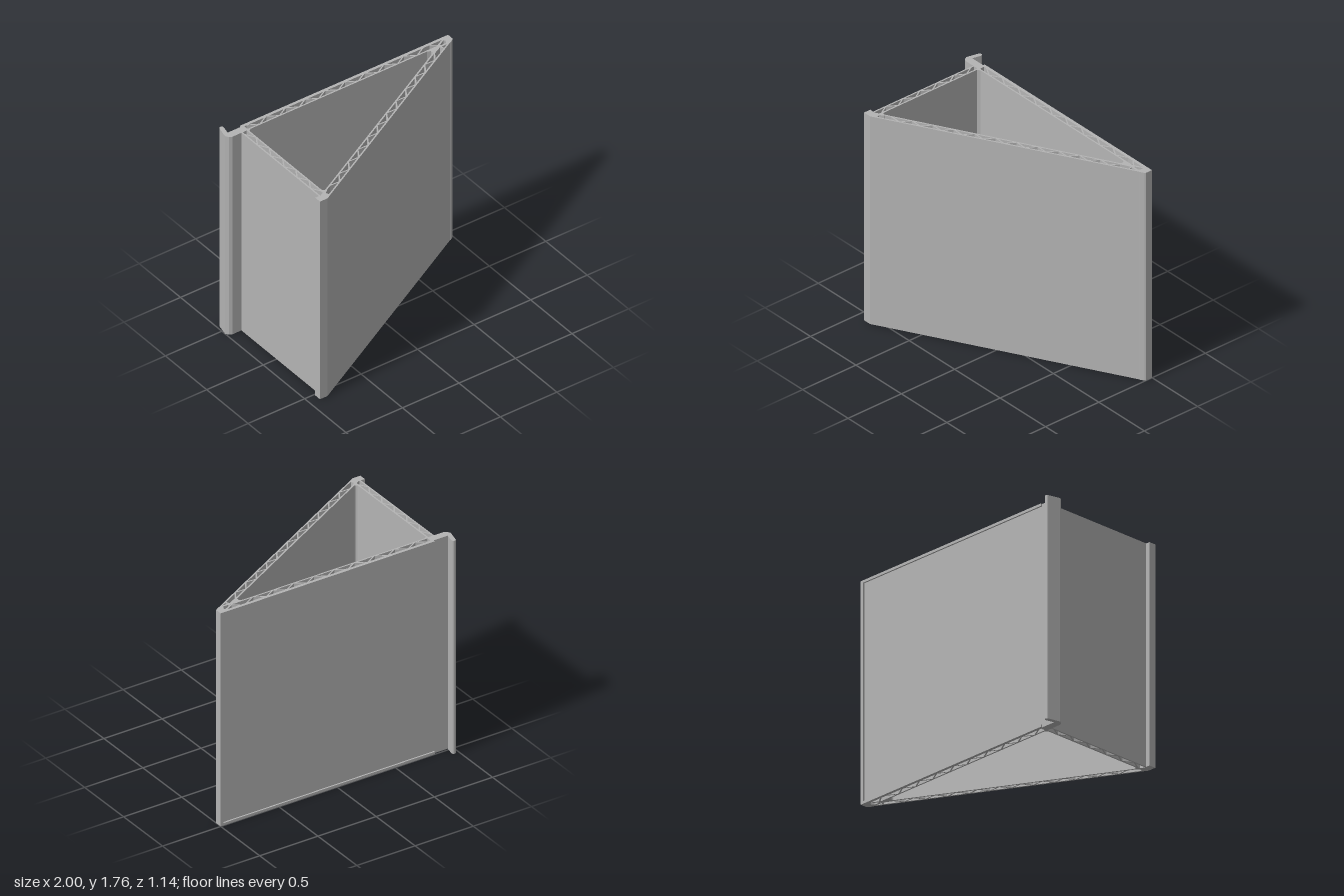
import * as THREE from 'three';

const HEIGHT = 1.76;

export function createModel() {
  const group = new THREE.Group();
  const grey = new THREE.MeshStandardMaterial({ color: 0xb4b4b4 });

  // plan outline given as [x, z] corners
  const outline = (pts) => new THREE.Shape(pts.map(([x, z]) => new THREE.Vector2(x, -z)));

  // straight bar of the plan between two [x, z] points
  const bar = (a, b, w) => {
    const dx = b[0] - a[0], dz = b[1] - a[1];
    const k = w / 2 / Math.hypot(dx, dz);
    const nx = -dz * k, nz = dx * k;
    return outline([
      [a[0] + nx, a[1] + nz], [b[0] + nx, b[1] + nz],
      [b[0] - nx, b[1] - nz], [a[0] - nx, a[1] - nz],
    ]);
  };

  // extrude plan outlines upward
  const prism = (name, shapes, y = 0, height = HEIGHT) => {
    const geo = new THREE.ExtrudeGeometry(shapes, { depth: height, bevelEnabled: false, curveSegments: 8 });
    geo.rotateX(-Math.PI / 2);
    const mesh = new THREE.Mesh(geo, grey);
    mesh.name = name;
    mesh.position.y = y;
    group.add(mesh);
  };

  // hollow wall: two skins joined by zigzag webs.
  // s runs along the wall, t across it from skin a (t = 0) to skin b (t = depth)
  const trussWall = (name, o) => {
    const at = (s, t) => [
      o.origin[0] + o.along[0] * s + o.across[0] * t,
      o.origin[1] + o.along[1] * s + o.across[1] * t,
    ];
    const w = 0.012, ta = w / 2, tb = o.depth - w / 2;
    prism(name + 'Skins', [
      bar(at(o.skinA[0], ta), at(o.skinA[1], ta), w),
      bar(at(o.skinB[0], tb), at(o.skinB[1], tb), w),
    ]);
    const webs = [];
    for (let i = 0; i < o.count; i++) {
      const s = o.first + i * o.pitch;
      const a = at(s, ta), b = at(s + o.pitch / 2, tb), c = at(s + o.pitch, ta);
      webs.push(bar(a, b, 0.01));
      if (i < o.count - 1 || o.closeEnd) webs.push(bar(b, c, 0.01));
    }
    prism(name + 'Webs', webs);
  };

  trussWall('backWall', {
    origin: [-0.83, -0.487], along: [1, 0], across: [0, 1], depth: 0.062,
    skinA: [0, 1.8], skinB: [0, 1.63],
    first: 0.03, pitch: 0.174, count: 9, closeEnd: true,
  });
  trussWall('sideWall', {
    origin: [-0.882, -0.43], along: [0, 1], across: [1, 0], depth: 0.06,
    skinA: [0, 0.95], skinB: [0, 0.95],
    first: 0.03, pitch: 0.16, count: 6, closeEnd: false,
  });
  trussWall('slantedWall', {
    origin: [-0.823, 0.489], along: [0.878, -0.479], across: [0.479, 0.878], depth: 0.0585,
    skinA: [0, 1.87], skinB: [-0.01, 2.02],
    first: 0.08, pitch: 0.16, count: 11, closeEnd: true,
  });

  // hooked corner post
  prism('hookBase', outline([
    [-0.966, -0.485], [-0.82, -0.485], [-0.82, -0.44], [-0.8, -0.425],
    [-0.82, -0.41], [-0.835, -0.425], [-0.962, -0.425], [-0.985, -0.437], [-1, -0.462], [-0.992, -0.495],
  ]));
  prism('hookArm', bar([-0.981, -0.47], [-0.962, -0.555], 0.034));
  const tip = new THREE.Mesh(new THREE.CylinderGeometry(0.017, 0.017, HEIGHT, 16), grey);
  tip.name = 'hookTip';
  tip.position.set(-0.962, HEIGHT / 2, -0.555);
  group.add(tip);

  // front foot post, with a rounded inner corner
  prism('footPost', outline([
    [-0.915, 0.512], [-0.865, 0.512], [-0.835, 0.495], [-0.835, 0.44], [-0.823, 0.44],
    [-0.82, 0.465], [-0.81, 0.476], [-0.79, 0.474], [-0.79, 0.487], [-0.82, 0.51],
    [-0.805, 0.546], [-0.848, 0.57], [-0.915, 0.57],
  ]));

  // pointed corner post and the braced joint behind it
  prism('cornerPost', outline([
    [0.975, -0.499], [1, -0.499], [1, -0.442], [0.992, -0.433],
    [0.96, -0.414], [0.93, -0.424], [0.945, -0.455], [0.925, -0.475], [0.925, -0.487], [0.975, -0.487],
  ]));
  prism('cornerJoint', outline([
    [0.76, -0.437], [0.84, -0.437], [0.87, -0.425], [0.87, -0.414],
    [0.795, -0.376], [0.772, -0.376], [0.787, -0.392], [0.785, -0.414], [0.76, -0.425],
  ]));
  prism('cornerBraces', [
    bar([0.84, -0.42], [0.935, -0.473], 0.014),
    bar([0.82, -0.475], [0.9, -0.415], 0.01),
    bar([0.85, -0.42], [0.94, -0.42], 0.016),
    bar([0.87, -0.42], [0.885, -0.378], 0.01),
  ]);

  // raised rims along the top and bottom of the back panel
  const rim = outline([[-0.84, -0.499], [0.98, -0.499], [0.98, -0.48], [-0.84, -0.48]]);
  for (const [name, y] of [['bottomRim', 0], ['topRim', HEIGHT - 0.02]]) prism(name, rim, y, 0.02);

  return group;
}
